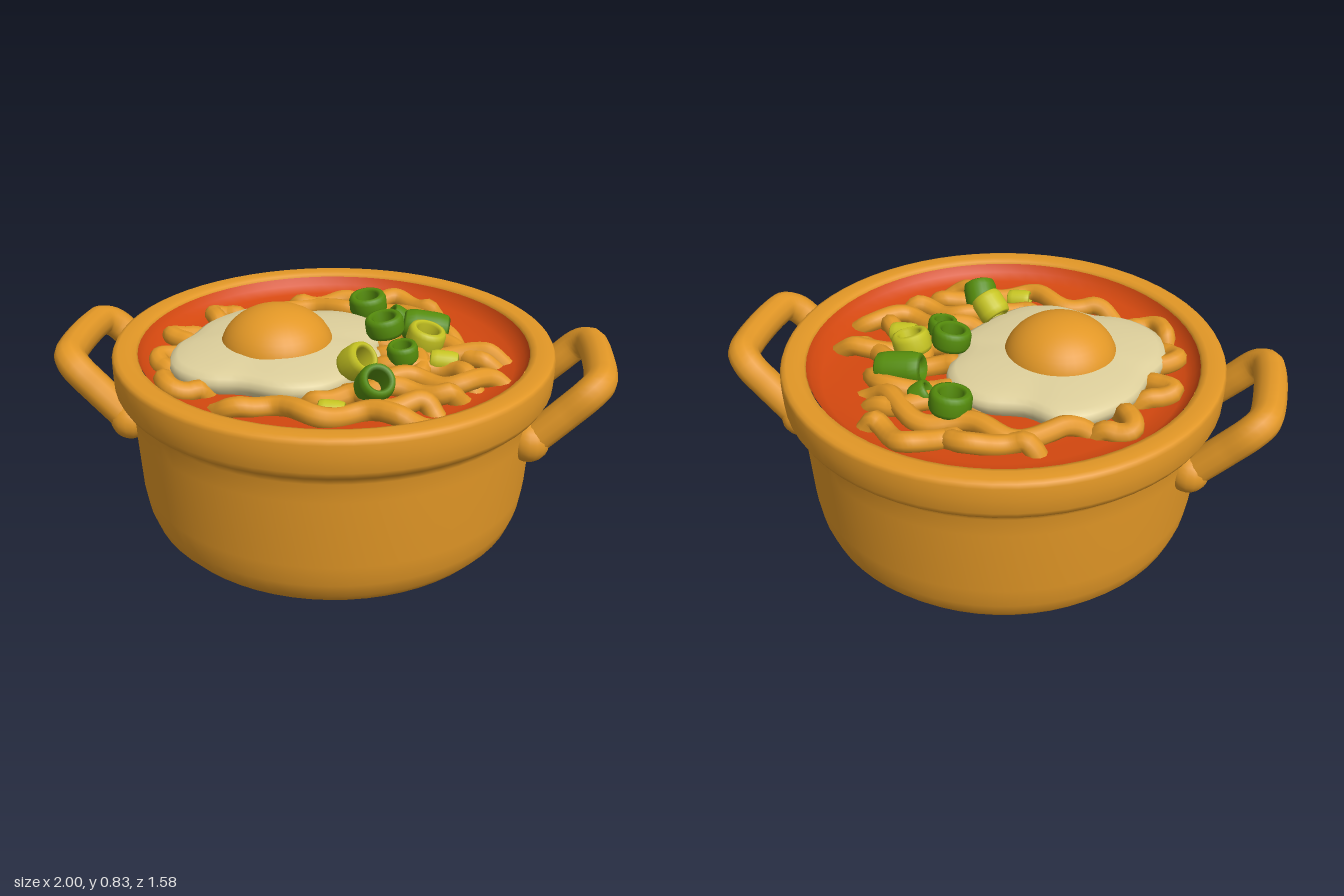
import * as THREE from 'three';
import { mergeVertices } from 'three/addons/utils/BufferGeometryUtils.js';

const mat = (name, color) => {
  const m = new THREE.MeshStandardMaterial({ color });
  m.name = name;
  return m;
};

export function createModel() {
  const group = new THREE.Group();
  const orange = mat('golden orange', 0xe29726);
  const red = mat('red broth', 0xd4480f);
  const cream = mat('cream', 0xded09c);
  const green = mat('leaf green', 0x558c0c);
  const lime = mat('yellow green', 0xc6c422);

  const add = (name, geometry, material, parent = group) => {
    const mesh = new THREE.Mesh(geometry, material);
    mesh.name = name;
    parent.add(mesh);
    return mesh;
  };
  const lathe = (pts, segments) =>
    new THREE.LatheGeometry(pts.map(([r, y]) => new THREE.Vector2(r, y)), segments);

  // Pot: closed foot, straight wall, thick rolled rim
  add('pot', lathe([
    [0, 0], [0.55, 0], [0.6, 0.004], [0.65, 0.025], [0.685, 0.065], [0.705, 0.12], [0.717, 0.2],
    [0.73, 0.45], [0.733, 0.52], [0.745, 0.545], [0.775, 0.565], [0.788, 0.59],
    [0.79, 0.64], [0.79, 0.685], [0.783, 0.699], [0.768, 0.705], [0.725, 0.705], [0.706, 0.699],
    [0.7, 0.685], [0.69, 0.63],
  ], 64), orange);

  // Broth: dished surface climbing the inner wall
  add('broth', lathe([[0.7, 0.69], [0.685, 0.66], [0.65, 0.635], [0.58, 0.622], [0.4, 0.62], [0, 0.62]], 64), red);

  // Handles: slanted bent bars with rounded feet
  const half = [[0.69, 0.43, 0.235], [0.75, 0.49, 0.232], [0.82, 0.56, 0.228], [0.89, 0.63, 0.22], [0.925, 0.655, 0.185], [0.938, 0.66, 0.11]];
  for (const side of [1, -1]) {
    const handle = new THREE.Group();
    handle.name = side > 0 ? 'leftHandle' : 'rightHandle';
    const pts = [...half, ...half.map(([x, y, z]) => [x, y, -z]).reverse()]
      .map(([x, y, z]) => new THREE.Vector3(side * x, y, z));
    add('handleBar', new THREE.TubeGeometry(new THREE.CatmullRomCurve3(pts), 60, 0.057, 12), orange, handle);
    for (const z of [0.235, -0.235]) {
      const foot = add('handleFoot', new THREE.SphereGeometry(0.072, 16, 12), orange, handle);
      foot.position.set(side * 0.705, 0.45, z);
    }
    group.add(handle);
  }

  // Noodles: bowed wavy strands, ends dipping into the broth
  // [start x, start z, end x, end z, sideways bow, waves]
  const strands = [
    [-0.42, -0.33, 0.44, -0.28, -0.13, 2.5],
    [-0.24, -0.48, 0.1, -0.46, -0.04, 1],
    [0, -0.5, 0.37, -0.48, -0.05, 1.5],
    [-0.38, -0.33, -0.45, -0.2, 0.11, 0],
    [-0.48, -0.13, -0.48, 0, 0.14, 0],
    [-0.5, 0.08, -0.52, 0.24, 0.1, 0],
    [-0.56, 0.28, -0.38, 0.34, 0.08, 0],
    [-0.35, 0.44, 0.38, 0.46, 0.05, 2.5],
    [-0.06, 0.36, 0.4, 0.42, 0, 2],
    [0.04, 0.28, 0.48, 0.28, 0.03, 1.5],
    [0.1, 0.18, 0.64, 0.16, 0.05, 2],
    [0.12, 0.1, 0.52, 0.22, -0.07, 1],
    [0.1, 0.01, 0.64, -0.02, 0, 1],
    [0.1, -0.1, 0.6, 0, -0.04, 1.5],
    [0.08, -0.22, 0.46, -0.13, -0.09, 1],
    [0, -0.28, 0.4, -0.34, -0.02, 1],
    [0.28, 0.2, 0.36, -0.3, 0, 1.5],
  ];
  strands.forEach(([x0, z0, x1, z1, bow, waves], s) => {
    const length = Math.hypot(x1 - x0, z1 - z0);
    const count = 8 + Math.round(waves * 5);
    const pts = Array.from({ length: count + 1 }, (_, i) => {
      const t = i / count;
      const off = (bow * Math.sin(Math.PI * t) + 0.03 * Math.sin(2 * Math.PI * waves * t)) / length;
      const lift = Math.min(1, 8 * Math.min(t, 1 - t));
      return new THREE.Vector3(
        x0 + (x1 - x0) * t - (z1 - z0) * off,
        0.59 + lift * (0.058 + 0.01 * Math.sin(i * 0.8 + s)),
        z0 + (z1 - z0) * t + (x1 - x0) * off);
    });
    add('noodle', new THREE.TubeGeometry(new THREE.CatmullRomCurve3(pts), count * 3, 0.036, 10), orange);
  });

  // Egg white: domed slab whose rings follow a wavy outline
  const outline = new THREE.CatmullRomCurve3([
    [-0.12, 0.4], [0, 0.37], [0.07, 0.3], [0.13, 0.2], [0.18, 0.08], [0.16, -0.01], [0.17, -0.15], [0.1, -0.27], [0, -0.32],
    [-0.15, -0.31], [-0.26, -0.35], [-0.35, -0.33], [-0.42, -0.27], [-0.5, -0.15], [-0.53, -0.02], [-0.57, 0.1],
    [-0.53, 0.27], [-0.4, 0.36], [-0.27, 0.36],
  ].map(([x, z]) => new THREE.Vector3(x, 0, z)), true);
  const rings = [[0.95, 0.62], [0.99, 0.64], [1, 0.66], [0.98, 0.68], [0.92, 0.692], [0.8, 0.698], [0.55, 0.712], [0, 0.715]];
  const steps = 72;
  const white = lathe(rings, steps);
  const pos = white.attributes.position;
  for (let i = 0; i <= steps; i++) {
    const p = outline.getPoint((i % steps) / steps);
    rings.forEach(([k, y], j) =>
      pos.setXYZ(i * rings.length + j, -0.2 + (p.x + 0.2) * k, y, 0.03 + (p.z - 0.03) * k));
  }
  white.deleteAttribute('uv');
  white.deleteAttribute('normal');
  const whiteSmooth = mergeVertices(white);
  whiteSmooth.computeVertexNormals();
  add('eggWhite', whiteSmooth, cream);

  // Yolk
  const yolk = add('yolk', new THREE.SphereGeometry(0.205, 40, 24), orange);
  yolk.scale.y = 0.78;
  yolk.position.set(-0.2, 0.67, 0.04);

  // Scallion slices: hollow rounded rings [material, x, y, z, radius, height, tiltX, tiltZ]
  const slices = [
    [green, 0.09, 0.7, -0.37, 0.073, 0.08, 0.12, 0.1],
    [green, 0.325, 0.685, -0.19, 0.06, 0.17, 0.1, 1.45],
    [green, 0.18, 0.745, -0.04, 0.07, 0.075, 0.08, 0.15],
    [lime, 0.33, 0.705, -0.04, 0.07, 0.08, 0.1, -0.25],
    [green, 0.255, 0.7, 0.1, 0.055, 0.07, 0.1, 0.1],
    [lime, 0.11, 0.725, 0.25, 0.06, 0.1, 0.6, -0.7],
    [green, 0.18, 0.7, 0.375, 0.063, 0.11, 0.75, -0.35],
    [green, 0.21, 0.67, -0.31, 0.045, 0.07, 0.3, 0.9],
    [lime, 0.4, 0.665, 0.08, 0.04, 0.1, 0, 1.5],
    [lime, 0.05, 0.645, 0.475, 0.038, 0.09, 0.2, 1.5],
  ];
  for (const [material, x, y, z, r, h, tiltX, tiltZ] of slices) {
    const a = h / 2, n = r * 0.56;
    const slice = add('scallionSlice', lathe([
      [n, -a * 0.8], [r * 0.72, -a], [r * 0.9, -a * 0.9], [r, -a * 0.5], [r, a * 0.5],
      [r * 0.9, a * 0.9], [r * 0.72, a], [n, a * 0.8], [n, -a * 0.8],
    ], 24), material);
    slice.position.set(x, y, z);
    slice.rotation.set(tiltX, 0, tiltZ);
  }
  return group;
}
